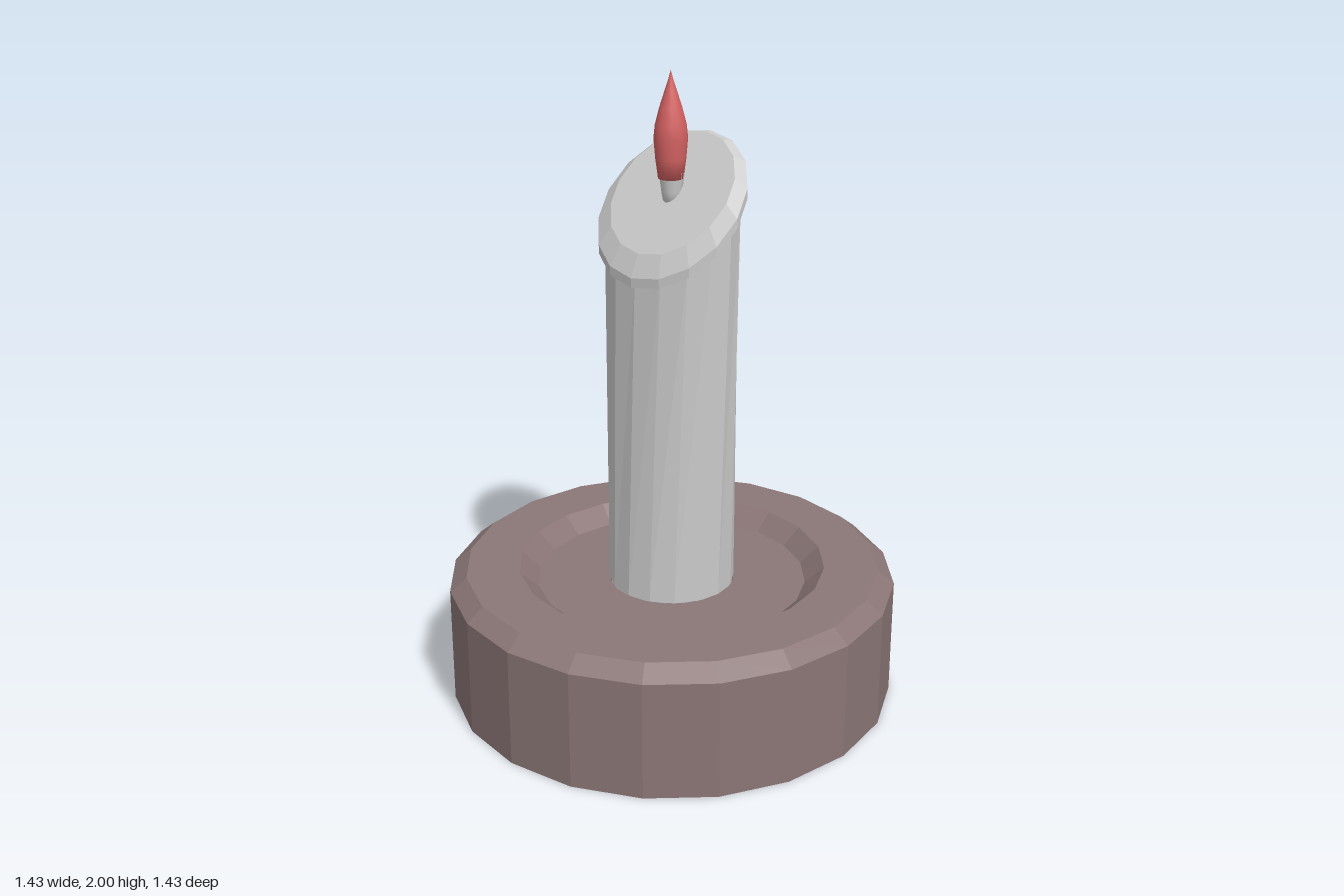
import * as THREE from 'three';

const SIDES = 16;

function material(color, flatShading = true) {
  return new THREE.MeshStandardMaterial({ color, flatShading, side: THREE.DoubleSide });
}

function lathe(name, points, segments, mat) {
  const profile = points.map(([r, y]) => new THREE.Vector2(r, y));
  const mesh = new THREE.Mesh(new THREE.LatheGeometry(profile, segments), mat);
  mesh.name = name;
  return mesh;
}

// Ring of points around (cx, cy, 0), tilted about z so that +x rises
function ring(r, cx, cy, tilt) {
  return Array.from({ length: SIDES }, (_, i) => {
    const a = (i / SIDES) * Math.PI * 2;
    const u = Math.cos(a) * r;
    return [cx + u * Math.cos(tilt), cy + u * Math.sin(tilt), -Math.sin(a) * r];
  });
}

// Skin between successive rings, lowest ring first
function loft(name, rings, mat) {
  const index = [];
  for (let k = 0; k < rings.length - 1; k++) {
    for (let i = 0; i < SIDES; i++) {
      const j = (i + 1) % SIDES;
      const a = k * SIDES + i, b = k * SIDES + j;
      index.push(a, b, b + SIDES, a, b + SIDES, a + SIDES);
    }
  }
  const geometry = new THREE.BufferGeometry();
  geometry.setAttribute('position', new THREE.Float32BufferAttribute(rings.flat(2), 3));
  geometry.setIndex(index);
  geometry.computeVertexNormals();
  const mesh = new THREE.Mesh(geometry, mat);
  mesh.name = name;
  return mesh;
}

export function createModel() {
  const model = new THREE.Group();
  model.name = 'candle';
  const wax = material(0xcccccc);
  const tilt = THREE.MathUtils.degToRad(48);

  // Hollow holder, open below, with a bevelled rim and a shallow recess
  model.add(lathe('holder', [
    [0.713, 0], [0.713, 0.38], [0.66, 0.423], [0.49, 0.423], [0.43, 0.37], [0.2, 0.37],
  ], 20, material(0x8b7676)));

  // Tapered body running from a level circle to a slanted one
  model.add(loft('candleBody', [
    ring(0.2, 0, 0.37, 0),
    ring(0.238, -0.002, 1.573, tilt),
  ], wax));

  // Overhanging slanted lip, closed by the wax surface
  model.add(loft('candleLip', [
    ring(0.238, -0.002, 1.573, tilt),
    ring(0.26, -0.002, 1.573, tilt),
    ring(0.26, -0.003, 1.602, tilt),
    ring(0.216, -0.001, 1.638, tilt),
    ring(0, -0.001, 1.638, tilt),
  ], wax));

  // Wick, widening towards the flame
  model.add(lathe('wick', [
    [0, 1.59], [0.025, 1.6], [0.032, 1.64], [0.04, 1.7],
  ], 12, material(0xcccccc, false)));

  // Teardrop flame
  const flame = lathe('flame', [
    [0, 1.68], [0.038, 1.68], [0.046, 1.74], [0.051, 1.8], [0.047, 1.84],
    [0.034, 1.89], [0.018, 1.94], [0.008, 1.97], [0, 2],
  ], 16, material(0xd46262, false));
  flame.position.x = -0.004;
  model.add(flame);

  return model;
}
